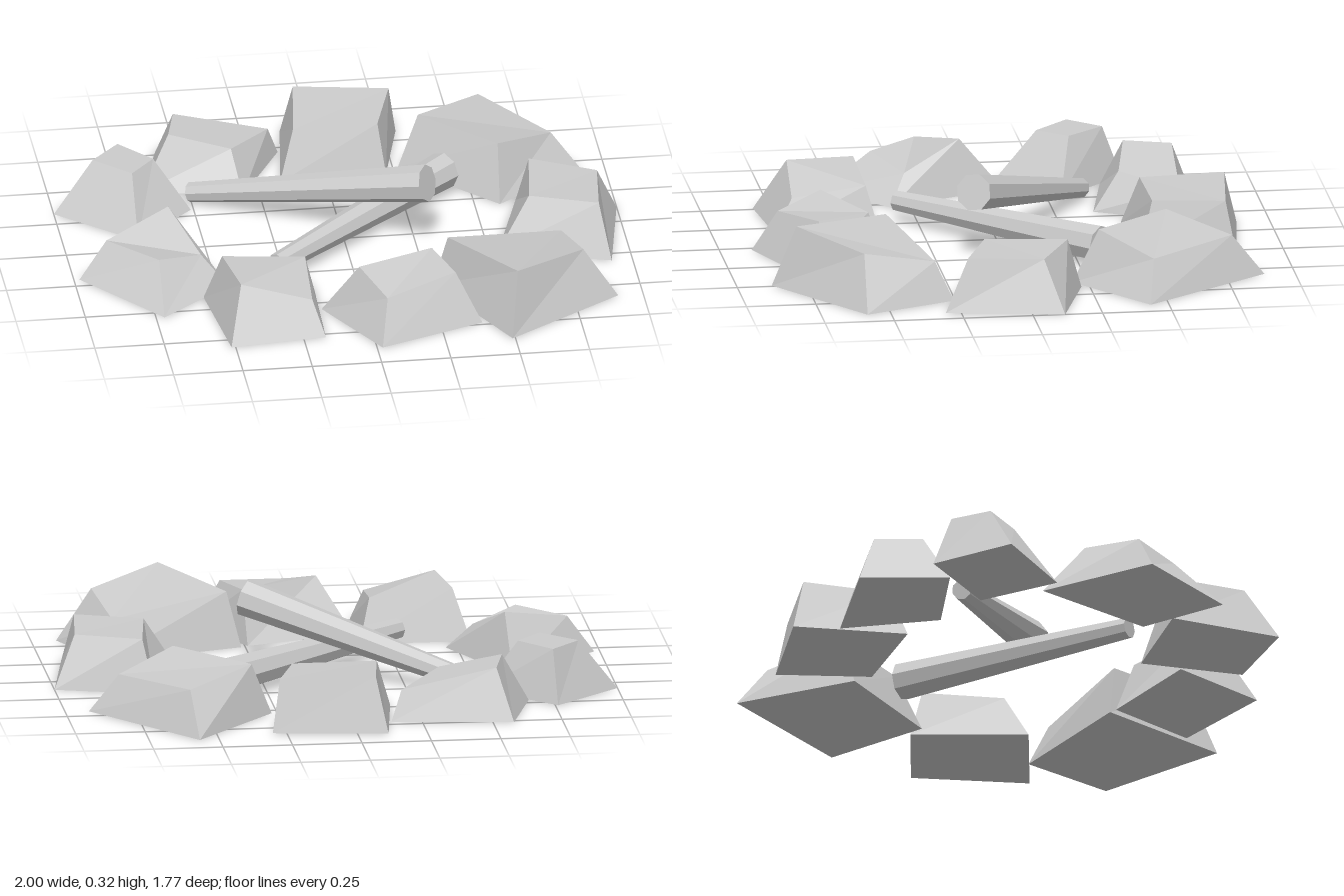
import * as THREE from 'three';

const material = new THREE.MeshStandardMaterial({ color: 0xcccccc, flatShading: true });

// Rough stone: four ground corners [x, z] and four top corners [x, y, z],
// both listed clockwise as seen from above.
function stone(name, base, top) {
  const c = [...base.map(([x, z]) => [x, 0, z]), ...top];
  const quads = [[7, 6, 5, 4], [0, 1, 2, 3]];
  for (let i = 0; i < 4; i++) {
    const j = (i + 1) % 4;
    quads.push([j, i, i + 4, j + 4]);
  }
  const pos = [];
  for (const [p, q, r, s] of quads) {
    for (const k of [p, q, r, p, r, s]) pos.push(...c[k]);
  }
  const geo = new THREE.BufferGeometry();
  geo.setAttribute('position', new THREE.Float32BufferAttribute(pos, 3));
  geo.computeVertexNormals();
  const mesh = new THREE.Mesh(geo, material);
  mesh.name = name;
  return mesh;
}

// Tapered eight-sided log running from its thin end to its thick end.
function log(name, thinEnd, thickEnd, thinRadius, thickRadius) {
  const a = new THREE.Vector3(...thinEnd), b = new THREE.Vector3(...thickEnd);
  const dir = b.clone().sub(a);
  const geo = new THREE.CylinderGeometry(thickRadius, thinRadius, dir.length(), 8);
  const mesh = new THREE.Mesh(geo, material);
  mesh.position.copy(a).add(b).multiplyScalar(0.5);
  mesh.quaternion.setFromUnitVectors(new THREE.Vector3(0, 1, 0), dir.normalize());
  mesh.name = name;
  return mesh;
}

export function createModel() {
  const model = new THREE.Group();
  model.name = 'firePit';

  // Ring of stones
  const ring = new THREE.Group();
  ring.name = 'stoneRing';
  ring.add(
    stone('backStone',
      [[-0.11, -0.88], [0.3, -0.825], [0.22, -0.49], [-0.165, -0.47]],
      [[-0.07, 0.2, -0.83], [0.27, 0.19, -0.79], [0.195, 0.18, -0.535], [-0.11, 0.18, -0.53]]),
    stone('backLeftStone',
      [[0.57, -0.89], [0.915, -0.435], [0.59, -0.195], [0.27, -0.54]],
      [[0.59, 0.155, -0.77], [0.81, 0.14, -0.46], [0.595, 0.195, -0.29], [0.345, 0.19, -0.565]]),
    stone('leftStone',
      [[0.65, -0.22], [1, -0.115], [0.925, 0.305], [0.53, 0.185]],
      [[0.69, 0.19, -0.165], [0.92, 0.185, -0.05], [0.89, 0.19, 0.22], [0.65, 0.19, 0.13]]),
    stone('frontLeftStone',
      [[0.265, 0.41], [0.77, 0.255], [0.91, 0.585], [0.49, 0.875]],
      [[0.315, 0.2, 0.44], [0.74, 0.14, 0.32], [0.785, 0.19, 0.58], [0.52, 0.225, 0.79]]),
    stone('frontStone',
      [[-0.155, 0.55], [0.24, 0.425], [0.4, 0.735], [0.02, 0.885]],
      [[-0.03, 0.2, 0.63], [0.25, 0.19, 0.495], [0.31, 0.18, 0.68], [0.05, 0.15, 0.795]]),
    stone('frontRightStone',
      [[-0.56, 0.4], [-0.16, 0.4], [-0.17, 0.775], [-0.515, 0.81]],
      [[-0.5, 0.185, 0.45], [-0.2, 0.16, 0.445], [-0.21, 0.12, 0.71], [-0.465, 0.19, 0.695]]),
    stone('rightStone',
      [[-0.65, -0.11], [-0.46, 0.32], [-0.72, 0.54], [-0.98, 0.2]],
      [[-0.64, 0.195, 0.05], [-0.55, 0.1, 0.26], [-0.715, 0.14, 0.36], [-0.88, 0.14, 0.18]]),
    stone('smallRightStone',
      [[-0.76, -0.55], [-0.51, -0.3], [-0.73, -0.08], [-1, -0.33]],
      [[-0.75, 0.19, -0.48], [-0.64, 0.19, -0.345], [-0.73, 0.19, -0.24], [-0.855, 0.19, -0.365]]),
    stone('backRightStone',
      [[-0.575, -0.77], [-0.14, -0.715], [-0.31, -0.39], [-0.665, -0.46]],
      [[-0.52, 0.185, -0.7], [-0.18, 0.11, -0.685], [-0.34, 0.14, -0.485], [-0.56, 0.19, -0.53]]),
  );
  model.add(ring);

  // Crossed firewood
  model.add(
    log('upperLog', [-0.505, 0.035, -0.37], [0.285, 0.26, 0.12], 0.036, 0.068),
    log('lowerLog', [-0.285, 0.075, 0.32], [0.405, 0.085, -0.325], 0.038, 0.068),
  );
  return model;
}
